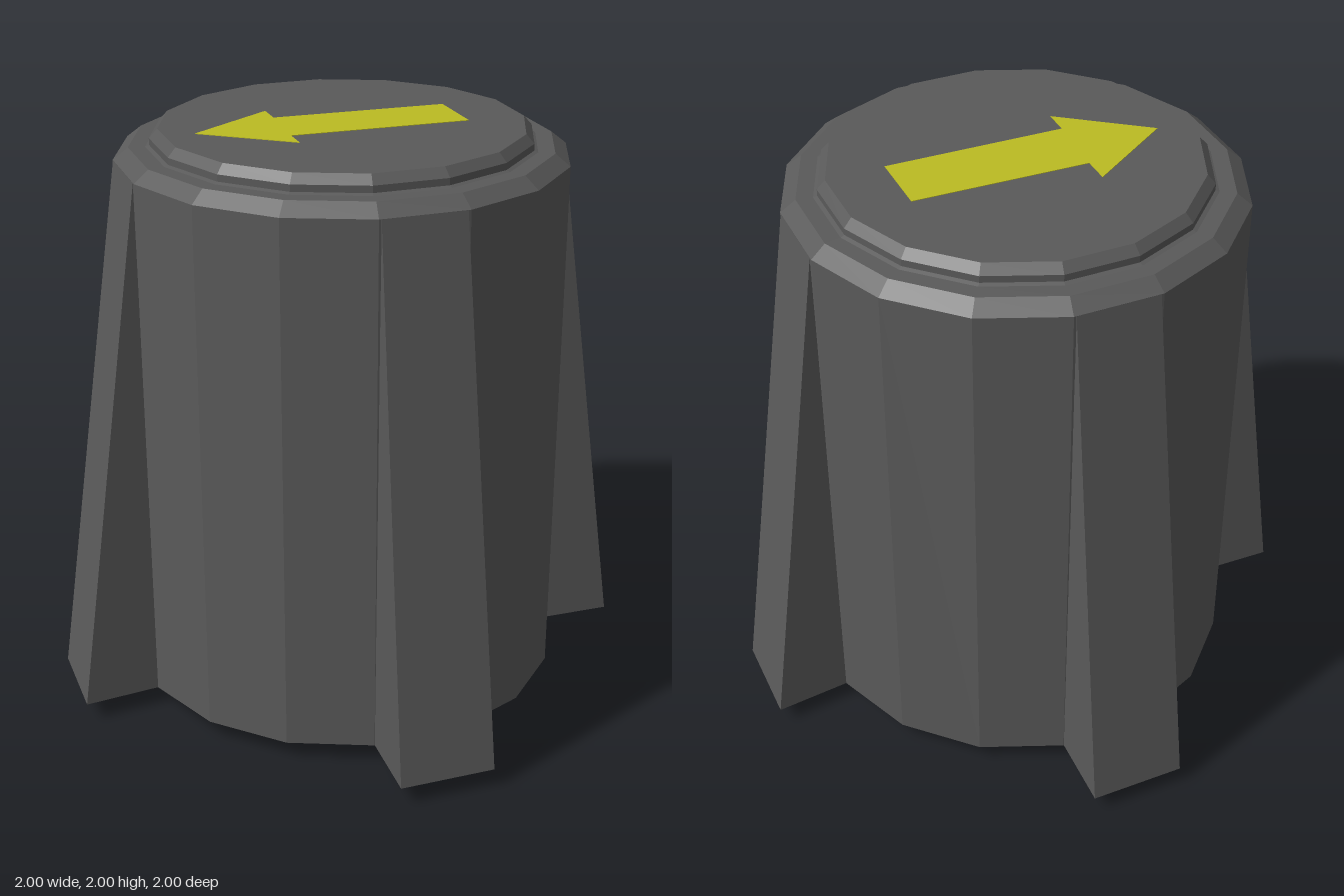
import * as THREE from 'three';

const SIDES = 16;
const BASE_Y = 0.065;

// Faceted turned part; profile is [flat-to-centre distance, height], bottom to top
function turned(profile, material, name) {
  const k = 1 / Math.cos(Math.PI / SIDES);
  const points = profile.map(([r, y]) => new THREE.Vector2(r * k, y));
  const geometry = new THREE.LatheGeometry(points, SIDES, Math.PI / SIDES).toNonIndexed();
  geometry.computeVertexNormals();
  const mesh = new THREE.Mesh(geometry, material);
  mesh.name = name;
  return mesh;
}

// Wedge that flares out from the body towards the base
function finGeometry() {
  const corners = [
    [-0.146, BASE_Y, 0.735], [0.146, BASE_Y, 0.735], // inner base
    [0.175, BASE_Y, 1], [-0.152, BASE_Y, 1],         // outer base
    [-0.14, 1.9, 0.746], [0.138, 1.9, 0.746],        // top edge
  ];
  const faces = [3, 2, 5, 3, 5, 4, 0, 1, 2, 0, 2, 3, 0, 3, 4, 1, 5, 2];
  const geometry = new THREE.BufferGeometry();
  geometry.setAttribute('position',
    new THREE.Float32BufferAttribute(faces.flatMap((i) => corners[i]), 3));
  geometry.computeVertexNormals();
  return geometry;
}

export function createModel() {
  const model = new THREE.Group();
  model.name = 'controlKnob';

  const grey = new THREE.MeshStandardMaterial({ color: 0x5a5a5a });
  grey.name = 'dark grey';
  grey.flatShading = true;
  const yellow = new THREE.MeshStandardMaterial({ color: 0xbcbc22 });
  yellow.name = 'yellow';

  // Body with bevelled rim and raised cap
  model.add(turned([
    [0, BASE_Y], [0.74, BASE_Y], [0.745, 1.9], [0.695, 1.94],
    [0.64, 1.94], [0.627, 1.945], [0.627, 1.968], [0.6, 1.998], [0, 1.998],
  ], grey, 'body'));

  // Shaft stub underneath
  model.add(turned([[0, 0], [0.125, 0], [0.125, BASE_Y + 0.005]], grey, 'shaft'));

  // Four grip fins
  const fin = finGeometry();
  for (let i = 0; i < 4; i++) {
    const mesh = new THREE.Mesh(fin, grey);
    mesh.rotation.y = i * Math.PI / 2;
    mesh.name = 'gripFin';
    model.add(mesh);
  }

  // Pointer arrow on the cap
  const outline = [
    [-0.5, 0.015], [-0.2, 0.22], [-0.2, 0.125], [0.4, 0.11],
    [0.4, -0.12], [-0.215, -0.11], [-0.215, -0.2],
  ];
  const shape = new THREE.Shape(outline.map(([x, y]) => new THREE.Vector2(x, y)));
  const arrow = new THREE.Mesh(
    new THREE.ExtrudeGeometry(shape, { depth: 0.004, bevelEnabled: false }), yellow);
  arrow.rotation.x = -Math.PI / 2;
  arrow.position.y = 1.996;
  arrow.name = 'pointerArrow';
  model.add(arrow);

  return model;
}
